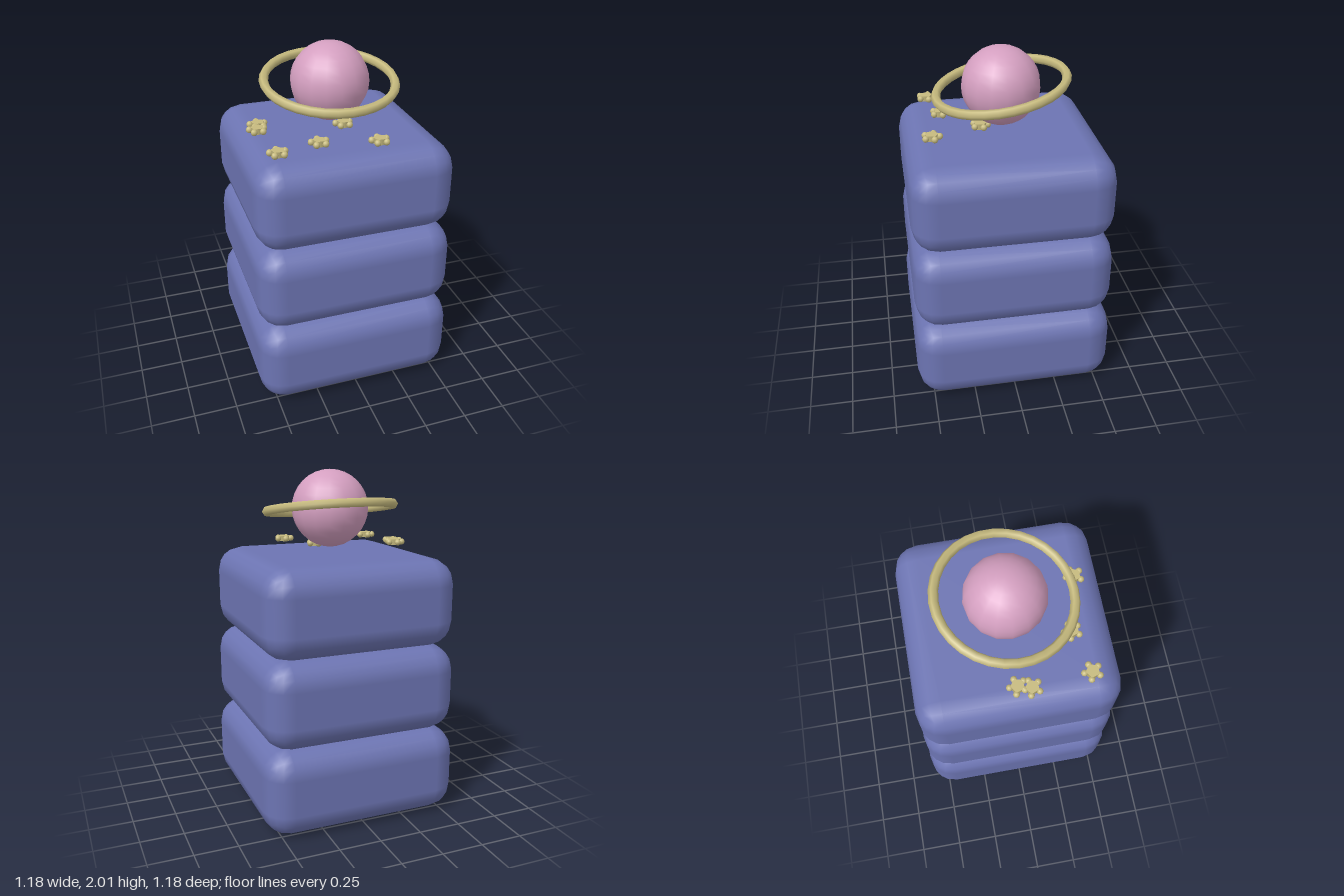
import * as THREE from 'three';
import { RoundedBoxGeometry } from 'three/addons/geometries/RoundedBoxGeometry.js';

function material(name, color) {
  const m = new THREE.MeshStandardMaterial({ color });
  m.name = name;
  return m;
}

export function createModel() {
  const blue = material('dusty blue', 0x6c74b2);
  const pink = material('soft pink', 0xd49fc0);
  const gold = material('pale gold', 0xc6ba7e);

  const model = new THREE.Group();
  model.name = 'tieredCake';

  const add = (parent, name, geometry, mat, x, y, z) => {
    const mesh = new THREE.Mesh(geometry, mat);
    mesh.name = name;
    mesh.position.set(x, y, z);
    parent.add(mesh);
    return mesh;
  };

  // Three stacked square tiers, each slightly narrower than the one below
  [1.182, 1.162, 1.146].forEach((width, i) => {
    const geometry = new RoundedBoxGeometry(width, 0.511, width, 2, 0.15);
    add(model, `tier${i + 1}`, geometry, blue, 0, 0.25 + i * 0.506, 0);
  });

  // Ringed planet on top
  add(model, 'planet', new THREE.SphereGeometry(0.225, 16, 16), pink, 0, 1.775, 0);
  const ring = add(model, 'planetRing', new THREE.TorusGeometry(0.373, 0.027, 6, 32), gold, 0, 1.775, 0);
  ring.rotation.x = Math.PI / 2 + 0.16;

  // Small five-petal flowers scattered over the top tier
  const petalGeometry = new THREE.SphereGeometry(0.019, 8, 8);
  const centreGeometry = new THREE.CylinderGeometry(0.04, 0.04, 0.034, 5, 1, false, Math.PI);
  const spots = [
    [-0.425, -0.01], [-0.445, 0.065], [-0.415, 0.395],
    [-0.17, 0.335], [0.148, 0.412], [0.04, 0.125],
  ];
  spots.forEach(([x, z], i) => {
    const flower = new THREE.Group();
    flower.name = `flower${i + 1}`;
    flower.position.set(x, 1.557, z);
    add(flower, 'flowerCentre', centreGeometry, gold, 0, 0, 0);
    for (let p = 0; p < 5; p++) {
      const a = (p * Math.PI * 2) / 5;
      add(flower, 'petal', petalGeometry, gold, 0.044 * Math.sin(a), 0, -0.044 * Math.cos(a));
    }
    model.add(flower);
  });

  return model;
}
